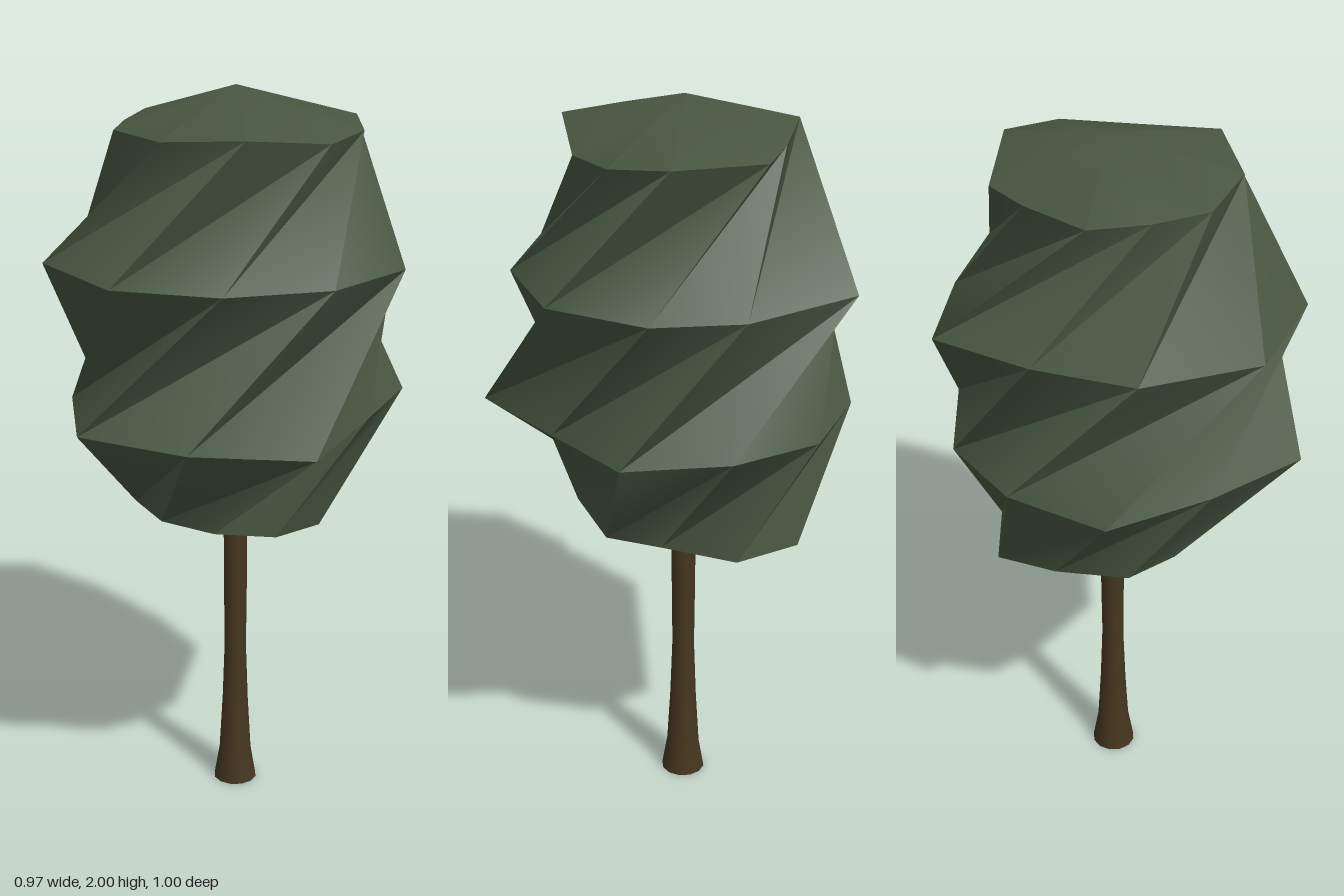
import * as THREE from 'three';
import { toCreasedNormals } from 'three/addons/utils/BufferGeometryUtils.js';

const leaf = new THREE.MeshStandardMaterial({ color: 0x475640 });
leaf.name = 'leafGreen';
const bark = new THREE.MeshStandardMaterial({ color: 0x45361f });
bark.name = 'barkBrown';

// Ten-point rings of the twisted crown, top to bottom: [x, y, z].
// Point k of one ring joins point k of the next, about 40 degrees further round.
const rings = [
  [[0.37, 1.905, -0.06], [0.33, 1.89, 0.1], [0.2, 1.88, 0.21], [-0.05, 1.915, 0.29], [-0.23, 1.9, 0.16],
    [-0.295, 1.9, -0.04], [-0.23, 1.9, -0.18], [-0.14, 1.905, -0.31], [0.07, 1.89, -0.3], [0.21, 1.885, -0.275]],
  [[0.395, 1.555, 0.245], [0.15, 1.555, 0.39], [-0.135, 1.555, 0.375], [-0.385, 1.56, 0.24], [-0.485, 1.565, -0.06],
    [-0.32, 1.56, -0.33], [-0.07, 1.56, -0.44], [0.2, 1.56, -0.5], [0.38, 1.54, -0.25], [0.48, 1.555, -0.025]],
  [[0.07, 1.155, 0.495], [-0.23, 1.16, 0.38], [-0.455, 1.16, 0.155], [-0.4, 1.17, -0.14], [-0.29, 1.17, -0.415],
    [-0.015, 1.175, -0.48], [0.24, 1.17, -0.42], [0.42, 1.18, -0.225], [0.48, 1.17, 0.05], [0.3, 1.17, 0.26]],
  [[-0.12, 0.89, 0.25], [-0.22, 0.88, 0.1], [-0.24, 0.87, -0.09], [-0.2, 0.86, -0.23], [-0.02, 0.84, -0.32],
    [0.15, 0.825, -0.365], [0.28, 0.83, -0.22], [0.285, 0.86, -0.02], [0.21, 0.835, 0.14], [0.05, 0.86, 0.25]],
];

function crownGeometry() {
  const n = 10;
  const top = [0.03, 2, -0.04];
  const bottom = [0.03, 0.795, -0.04];
  const pos = [];
  const tri = (a, b, c) => pos.push(...a, ...b, ...c);
  for (let k = 0; k < n; k++) {
    const j = (k + 1) % n;
    tri(top, rings[0][j], rings[0][k]);
    for (let r = 0; r < rings.length - 1; r++) {
      const u = rings[r];
      const l = rings[r + 1];
      tri(u[k], u[j], l[j]);
      tri(u[k], l[j], l[k]);
    }
    const last = rings[rings.length - 1];
    tri(bottom, last[k], last[j]);
  }
  const geo = new THREE.BufferGeometry();
  geo.setAttribute('position', new THREE.Float32BufferAttribute(pos, 3));
  return toCreasedNormals(geo, 0.65);
}

export function createModel() {
  const model = new THREE.Group();
  model.name = 'tree';

  // Twisted leafy crown
  const crown = new THREE.Mesh(crownGeometry(), leaf);
  crown.name = 'crown';
  model.add(crown);

  // Slender trunk flaring at the foot
  const profile = [[0, 0], [0.061, 0], [0.046, 0.09], [0.037, 0.25], [0.031, 0.42], [0.033, 0.62], [0.034, 0.9]]
    .map(([r, y]) => new THREE.Vector2(r, y));
  const trunk = new THREE.Mesh(toCreasedNormals(new THREE.LatheGeometry(profile, 12), 0.9), bark);
  trunk.name = 'trunk';
  trunk.position.set(0.03, 0, -0.04);
  model.add(trunk);

  return model;
}
